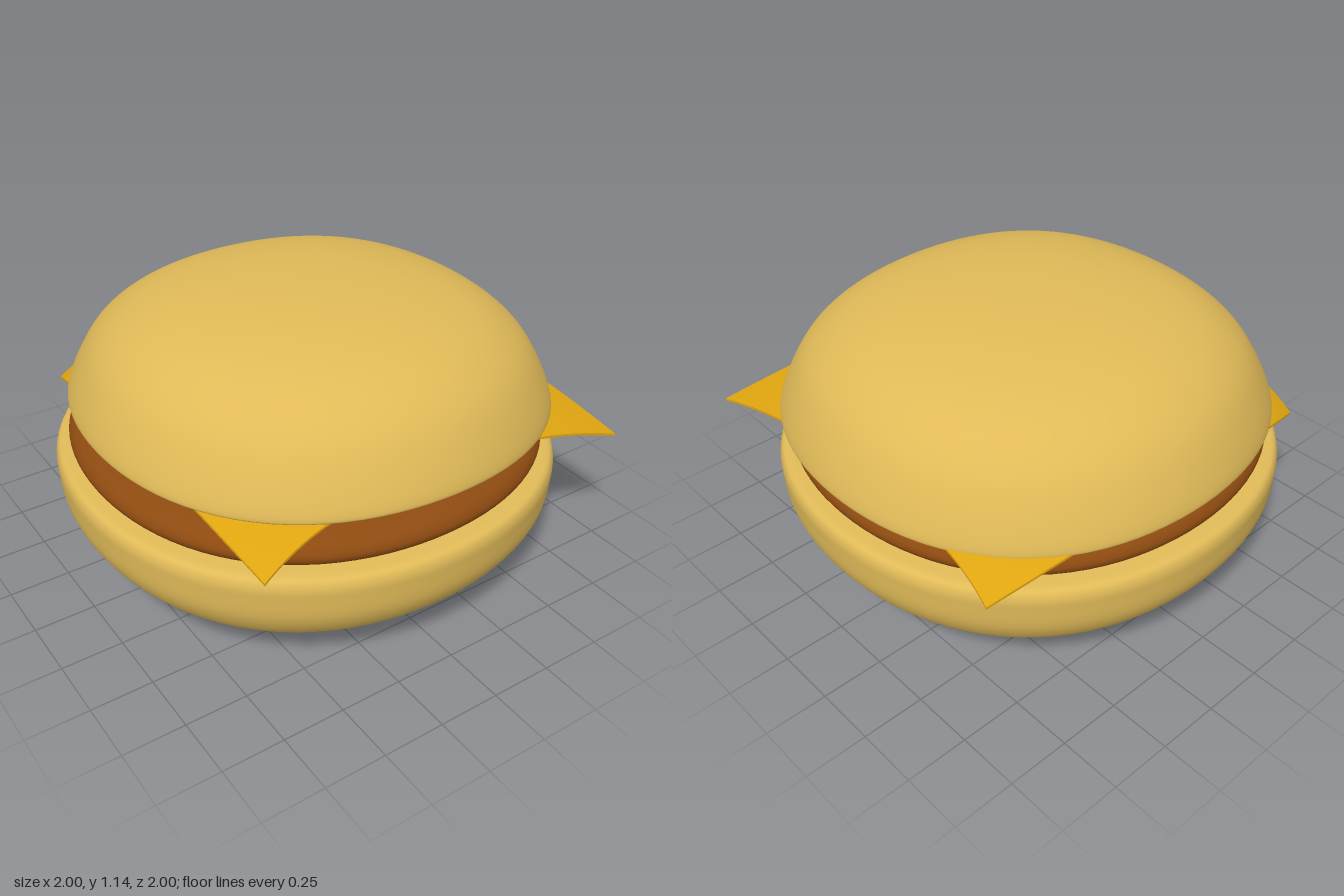
import * as THREE from 'three';

const bunMaterial = new THREE.MeshStandardMaterial({ color: 0xe0ba58 });
const pattyMaterial = new THREE.MeshStandardMaterial({ color: 0x8d4a10 });
const cheeseMaterial = new THREE.MeshStandardMaterial({ color: 0xdfa510 });

// Smooth body from a [radius, height] profile, listed from bottom to top;
// the outline is pushed out along the diagonals by the squareness
function roundBody(name, profile, material, squareness) {
  const curve = new THREE.CatmullRomCurve3(
    profile.map(([r, y]) => new THREE.Vector3(r, y, 0)), false, 'centripetal');
  const points = curve.getPoints(80).map(p => new THREE.Vector2(Math.max(p.x, 0), p.y));
  const geometry = new THREE.LatheGeometry(points, 96);
  const pos = geometry.attributes.position;
  for (let i = 0; i < pos.count; i++) {
    const x = pos.getX(i), z = pos.getZ(i);
    const k = 1 + squareness * Math.sin(2 * Math.atan2(z, x)) ** 2;
    pos.setX(i, x * k);
    pos.setZ(i, z * k);
  }
  const mesh = new THREE.Mesh(geometry, material);
  mesh.name = name;
  return mesh;
}

// Thin square slice whose corners droop beyond the bun
function cheeseSlice() {
  const geometry = new THREE.BoxGeometry(1.635, 0.01, 1.64, 48, 1, 48);
  const pos = geometry.attributes.position;
  for (let i = 0; i < pos.count; i++) {
    const x = pos.getX(i), z = pos.getZ(i);
    const t = Math.max(0, (Math.hypot(x, z) - 0.88) / 0.28) ** 1.4;
    pos.setXYZ(i, x + 0.043 * t, pos.getY(i) - 0.093 * t, z + 0.08 * t);
  }
  geometry.computeVertexNormals();
  const mesh = new THREE.Mesh(geometry, cheeseMaterial);
  mesh.name = 'cheeseSlice';
  mesh.position.set(0.04, 0.689, -0.03);
  return mesh;
}

export function createModel() {
  const burger = new THREE.Group();
  burger.name = 'burger';

  // Bottom bun: full bowl-shaped underside with a soft rim and flat top
  const bowl = [0, 0.2, 0.4, 0.55, 0.68, 0.79, 0.87, 0.93, 0.97, 0.99]
    .map(r => [r, 0.002 + 0.44 * (1 - (1 - r ** 2.5) ** 0.4)]);
  burger.add(roundBody('bottomBun', [
    ...bowl, [0.998, 0.42], [0.998, 0.475], [0.982, 0.505], [0.93, 0.514],
    [0.8, 0.516], [0, 0.516],
  ], bunMaterial, 0.025));

  burger.add(roundBody('patty', [
    [0, 0.505], [0.8, 0.506], [0.9, 0.515], [0.932, 0.538], [0.94, 0.565],
    [0.92, 0.6], [0.85, 0.632], [0.7, 0.655], [0.4, 0.664], [0, 0.666],
  ], pattyMaterial, 0.025));

  burger.add(cheeseSlice());

  // Top bun, slightly off centre and tilted; heights are relative to its lip
  const topBun = roundBody('topBun', [
    [0, -0.022], [0.5, -0.02], [0.8, -0.014], [0.91, -0.01], [0.945, 0.002], [0.947, 0.02],
    [0.905, 0.128], [0.83, 0.25], [0.725, 0.338], [0.6, 0.395], [0.4, 0.44],
    [0.2, 0.46], [0, 0.465],
  ], bunMaterial, 0.035);
  topBun.position.set(0.034, 0.68, -0.02);
  topBun.rotation.set(-0.01, 0, -0.013);
  burger.add(topBun);

  return burger;
}
